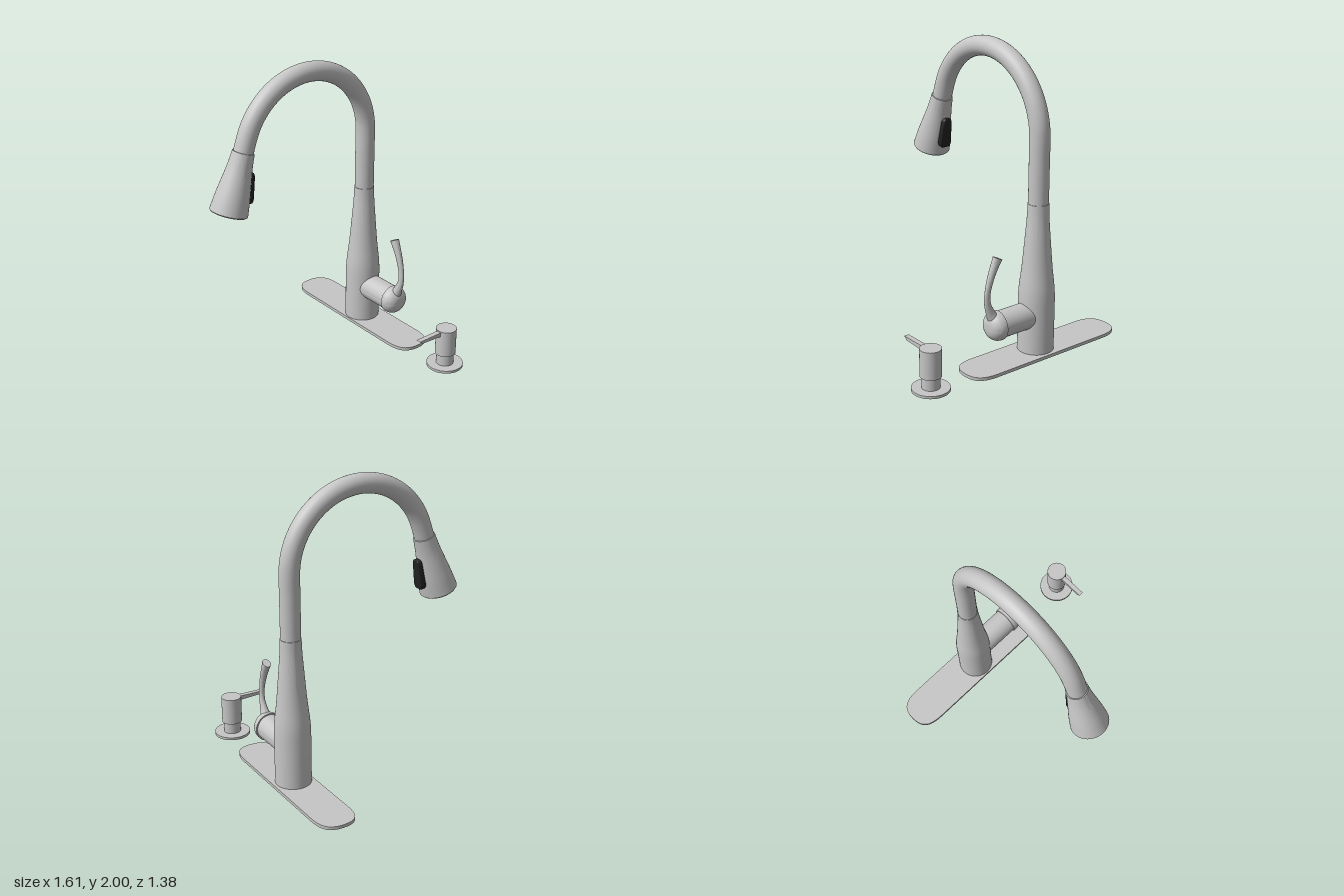
import * as THREE from 'three';
import { toCreasedNormals } from 'three/addons/utils/BufferGeometryUtils.js';

const V2 = (x, y) => new THREE.Vector2(x, y);
const V3 = (x, y, z) => new THREE.Vector3(x, y, z);
const crease = (g) => toCreasedNormals(g, 0.6);

// Solid of revolution about y from [radius, height] pairs, listed bottom to top
const turned = (pts, seg = 56) => crease(new THREE.LatheGeometry(pts.map((p) => V2(p[0], p[1])), seg));

// Smooth list of [radius, height] pairs through a few points
const smooth = (pts, n = 24) =>
  new THREE.SplineCurve(pts.map((p) => V2(p[0], p[1]))).getPoints(n).map((p) => [p.x, p.y]);

// Elliptical sections swept along a path in the xy plane, with capped end
function loft(path, widths, rings = 32, sides = 24) {
  const curve = new THREE.CatmullRomCurve3(path.map((p) => V3(p[0], p[1], 0)));
  const size = new THREE.CatmullRomCurve3(widths.map((w) => V3(w[0], w[1], 0)));
  const pos = [], idx = [];
  for (let i = 0; i <= rings; i++) {
    const t = i / rings, c = curve.getPoint(t), d = curve.getTangent(t), s = size.getPoint(t);
    for (let j = 0; j < sides; j++) {
      const a = (j / sides) * Math.PI * 2, u = Math.cos(a) * s.x;
      pos.push(c.x + d.y * u, c.y - d.x * u, Math.sin(a) * s.y);
    }
  }
  const end = curve.getPoint(1);
  pos.push(end.x, end.y, 0);
  for (let j = 0; j < sides; j++) {
    const k = (j + 1) % sides;
    for (let i = 0; i < rings; i++) {
      const a = i * sides + j, b = a + sides, c = i * sides + k, d = c + sides;
      idx.push(a, b, c, b, d, c);
    }
    idx.push((rings + 1) * sides, rings * sides + k, rings * sides + j);
  }
  const g = new THREE.BufferGeometry();
  g.setAttribute('position', new THREE.Float32BufferAttribute(pos, 3));
  g.setIndex(idx);
  return crease(g);
}

export function createModel() {
  const model = new THREE.Group();
  model.name = 'kitchenFaucet';
  const steel = new THREE.MeshStandardMaterial({ color: 0xc6c6c6 });
  steel.name = 'brushed steel';
  const black = new THREE.MeshStandardMaterial({ color: 0x222222 });
  black.name = 'black rubber';
  const add = (parent, name, geo, mat, x = 0, y = 0, z = 0) => {
    const m = new THREE.Mesh(geo, mat);
    m.name = name;
    m.position.set(x, y, z);
    parent.add(m);
    return m;
  };
  const X = -0.175, Z = -0.55;

  // Deck plate with full, rounded ends
  const L = 0.61, S = 0.44, H = 0.134;
  const plate = new THREE.Shape();
  plate.moveTo(-S, -H);
  plate.lineTo(S, -H);
  plate.bezierCurveTo(S + 0.12, -H, L, -0.1, L, 0);
  plate.bezierCurveTo(L, 0.1, S + 0.12, H, S, H);
  plate.lineTo(-S, H);
  plate.bezierCurveTo(-S - 0.12, H, -L, 0.1, -L, 0);
  plate.bezierCurveTo(-L, -0.1, -S - 0.12, -H, -S, -H);
  const plateGeo = new THREE.ExtrudeGeometry(plate, { depth: 0.022, bevelEnabled: false, curveSegments: 20 });
  plateGeo.rotateX(-Math.PI / 2);
  add(model, 'deckPlate', crease(plateGeo), steel, -0.195, 0, -0.556);

  // Tapered body
  add(model, 'body', turned([
    [0.119, 0.02],
    ...smooth([[0.119, 0.38], [0.114, 0.46], [0.098, 0.6], [0.081, 0.8], [0.071, 0.93], [0.068, 1.02]]),
    [0.06, 1.022],
  ]), steel, X, 0, Z);

  // Gooseneck: straight rise, arc, short tilted run to the spray head
  const tilt = 0.318, R = 0.4975, cz = Z + R, cy = 1.437;
  const neck = [V3(X, 1.0, Z), V3(X, 1.15, Z), V3(X, 1.3, Z)];
  for (let i = 0; i <= 20; i++) {
    const a = Math.PI + (tilt - Math.PI) * (i / 20);
    neck.push(V3(X, cy + R * Math.sin(a), cz + R * Math.cos(a)));
  }
  const joint = neck[neck.length - 1].clone().add(V3(0, -Math.cos(tilt), Math.sin(tilt)).multiplyScalar(0.083));
  neck.push(joint);
  add(model, 'gooseneck', new THREE.TubeGeometry(new THREE.CatmullRomCurve3(neck), 110, 0.0655, 32), steel);

  // Spray head, built along its own -y axis
  const head = new THREE.Group();
  head.name = 'sprayHead';
  head.position.copy(joint);
  head.rotation.x = -tilt;
  model.add(head);
  add(head, 'sprayShell', turned([
    [0.106, -0.385], [0.108, -0.405], [0.12, -0.407],
    ...smooth([[0.126, -0.4], [0.114, -0.3], [0.098, -0.2], [0.082, -0.1], [0.072, 0]]),
    [0.06, 0.001],
  ]), steel);
  add(head, 'sprayFace', new THREE.CylinderGeometry(0.107, 0.107, 0.01, 48), black, 0, -0.392, 0);
  add(head, 'sprayCentre', new THREE.CylinderGeometry(0.068, 0.068, 0.012, 40), black, 0, -0.396, 0);
  const nub = new THREE.CylinderGeometry(0.006, 0.005, 0.022, 10);
  for (let i = 0; i < 22; i++) {
    const a = (i / 22) * Math.PI * 2;
    add(head, 'sprayNub', nub, steel, 0.086 * Math.cos(a), -0.403, 0.086 * Math.sin(a));
  }

  // Spray button on the back of the head, wider at its lower end
  const b = new THREE.Shape();
  b.moveTo(-0.02, -0.095);
  b.lineTo(0.02, -0.095);
  b.quadraticCurveTo(0.036, -0.09, 0.035, -0.06);
  b.lineTo(0.025, 0.075);
  b.quadraticCurveTo(0.022, 0.095, 0.01, 0.095);
  b.lineTo(-0.01, 0.095);
  b.quadraticCurveTo(-0.022, 0.095, -0.025, 0.075);
  b.lineTo(-0.035, -0.06);
  b.quadraticCurveTo(-0.036, -0.09, -0.02, -0.095);
  const buttonGeo = new THREE.ExtrudeGeometry(b, {
    depth: 0.05, bevelThickness: 0.008, bevelSize: 0.008, bevelSegments: 3, curveSegments: 6,
  });
  buttonGeo.translate(0, 0, -0.058);
  buttonGeo.rotateY(Math.PI);
  add(head, 'sprayButton', crease(buttonGeo), black, 0, -0.225, -0.13).rotation.x = 0.18;

  // Side valve and its domed cap, turned about x
  const valveY = 0.273;
  const sideways = (pts) => turned(pts).rotateZ(-Math.PI / 2);
  add(model, 'valveBarrel', sideways([[0.088, -0.13], [0.088, 0.145]]), steel, 0, valveY, Z);
  const cap = [[0.08, 0.14], [0.097, 0.14]];
  for (let i = 0; i <= 12; i++) {
    const a = (i / 12) * Math.PI / 2;
    cap.push([0.02 + 0.077 * Math.cos(a), 0.155 + 0.073 * Math.sin(a)]);
  }
  cap.push([0, 0.229]);
  add(model, 'valveCap', sideways(cap), steel, 0, valveY, Z);

  // Curved lever
  add(model, 'lever', loft(
    [[0.175, 0.315], [0.205, 0.37], [0.228, 0.43], [0.233, 0.495], [0.213, 0.59], [0.182, 0.67], [0.153, 0.73]],
    [[0.042, 0.045], [0.031, 0.026], [0.024, 0.018], [0.021, 0.016], [0.023, 0.02], [0.027, 0.024], [0.035, 0.027]],
  ), steel, 0, 0, Z);

  // Soap dispenser
  const soap = new THREE.Group();
  soap.name = 'soapDispenser';
  soap.position.set(0.68, 0, -0.56);
  model.add(soap);
  add(soap, 'dispenserFlange', new THREE.CylinderGeometry(0.122, 0.122, 0.018, 48), steel, 0, 0.009, 0);
  add(soap, 'dispenserNeck', new THREE.CylinderGeometry(0.058, 0.058, 0.09, 40), steel, 0, 0.06, 0);
  add(soap, 'dispenserHead', new THREE.CylinderGeometry(0.069, 0.069, 0.185, 40), steel, 0, 0.1875, 0);
  const spout = new THREE.Shape([V2(0.04, 0.243), V2(0.225, 0.25), V2(0.252, 0.27), V2(0.04, 0.274)]);
  const spoutGeo = new THREE.ExtrudeGeometry(spout, { depth: 0.034, bevelEnabled: false });
  spoutGeo.translate(0, 0, -0.017);
  spoutGeo.rotateY(-Math.PI / 2);
  add(soap, 'dispenserSpout', spoutGeo, steel);

  return model;
}
